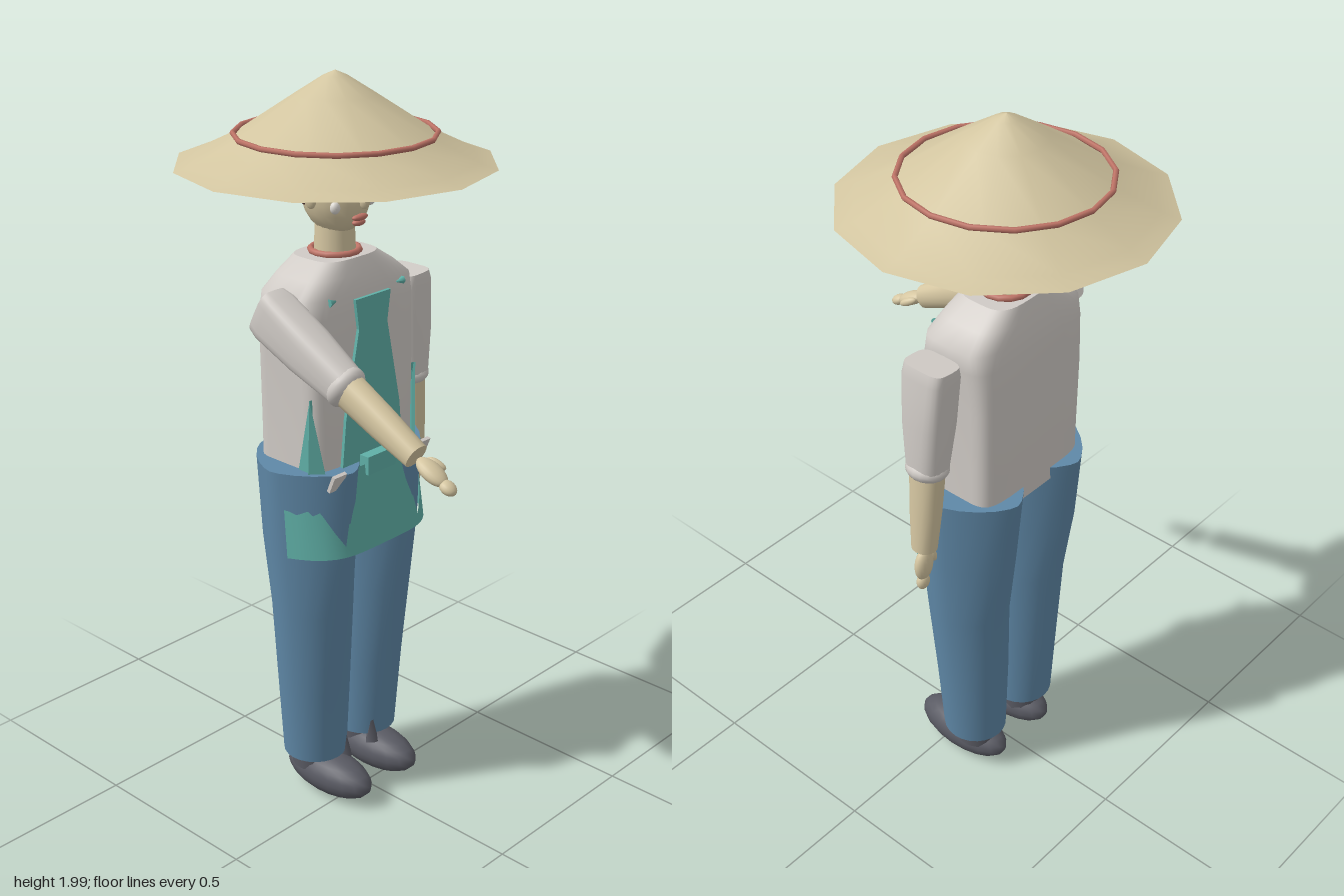
import * as THREE from 'three';

const mat = (name, color, side = THREE.FrontSide) => {
  const m = new THREE.MeshStandardMaterial({ color, side });
  m.name = name;
  return m;
};

// Closed skin through stacked rounded sections [y, cx, cz, rx, rz, power], bottom to top
function loft(sections, n = 24) {
  const pos = [], idx = [];
  const ring = ([y, cx, cz, rx, rz, power]) => {
    for (let i = 0; i < n; i++) {
      const a = (i / n) * Math.PI * 2, c = Math.cos(a), s = Math.sin(a);
      pos.push(cx + rx * Math.sign(c) * Math.abs(c) ** (2 / power), y,
        cz + rz * Math.sign(s) * Math.abs(s) ** (2 / power));
    }
  };
  sections.forEach(ring);
  for (let k = 0; k < sections.length - 1; k++) for (let i = 0; i < n; i++) {
    const a = k * n + i, b = k * n + (i + 1) % n;
    idx.push(a, a + n, b, b, a + n, b + n);
  }
  // flat end caps on their own vertices
  [[sections[0], false], [sections[sections.length - 1], true]].forEach(([s, top]) => {
    const base = pos.length / 3;
    ring(s);
    pos.push(s[1], s[0], s[2]);
    for (let i = 0; i < n; i++) {
      const a = base + i, b = base + (i + 1) % n;
      idx.push(base + n, top ? b : a, top ? a : b);
    }
  });
  const g = new THREE.BufferGeometry();
  g.setAttribute('position', new THREE.Float32BufferAttribute(pos, 3));
  g.setIndex(idx);
  g.computeVertexNormals();
  return g;
}

export function createModel() {
  const M = {
    straw: mat('straw', 0xd2c5a0, THREE.DoubleSide),
    skin: mat('skin', 0xd6c7a2),
    shirt: mat('shirt cloth', 0xd0cbc6),
    teal: mat('teal cloth', 0x60b0a7, THREE.DoubleSide),
    denim: mat('blue cloth', 0x5f88a7),
    shoe: mat('shoe grey', 0x595a63),
    hair: mat('hair brown', 0x6c4d4b),
    red: mat('red', 0xbf7467),
    white: mat('eye white', 0xdedad4),
    dark: mat('dark', 0x2a2626),
  };
  const model = new THREE.Group();
  model.name = 'farmer';
  const add = (name, geo, m, x = 0, y = 0, z = 0, parent = model) => {
    const mesh = new THREE.Mesh(geo, m);
    mesh.name = name;
    mesh.position.set(x, y, z);
    parent.add(mesh);
    return mesh;
  };
  const ball = (name, m, x, y, z, rx, ry, rz, parent) => {
    const b = add(name, new THREE.SphereGeometry(1, 18, 12), m, x, y, z, parent);
    b.scale.set(rx, ry, rz);
    return b;
  };

  // Wide twelve-sided straw hat with a cord
  const hatProfile = [[0.407, 1.775], [0.36, 1.79], [0.25, 1.843], [0.1, 1.942], [0.03, 1.987], [0, 2]];
  add('hat', new THREE.LatheGeometry(hatProfile.map(p => new THREE.Vector2(...p)), 12), M.straw, 0, 0, -0.1);
  add('hatCord', new THREE.TorusGeometry(0.253, 0.007, 6, 16), M.red, 0, 1.848, -0.1).rotation.x = Math.PI / 2;

  // Head, neck and collar
  ball('head', M.skin, 0, 1.71, -0.1, 0.085, 0.115, 0.095);
  add('neck', new THREE.CylinderGeometry(0.05, 0.054, 0.11, 16), M.skin, 0, 1.58, -0.105);
  add('collar', new THREE.TorusGeometry(0.062, 0.009, 8, 14), M.red, 0, 1.552, -0.105).rotation.x = Math.PI / 2;

  // Face
  ball('nose', M.skin, 0, 1.697, -0.004, 0.012, 0.025, 0.016);
  ball('upperLip', M.red, 0, 1.65, -0.018, 0.026, 0.009, 0.012);
  ball('lowerLip', M.red, 0, 1.636, -0.022, 0.021, 0.009, 0.012);
  for (const s of [-1, 1]) {
    ball('eye', M.white, s * 0.037, 1.732, -0.018, 0.016, 0.009, 0.008);
    ball('pupil', M.dark, s * 0.037, 1.732, -0.012, 0.008, 0.008, 0.005);
    add('eyebrow', new THREE.BoxGeometry(0.034, 0.007, 0.008), M.dark, s * 0.038, 1.753, -0.019)
      .rotation.set(0, s * 0.4, -s * 0.15);
    ball('cheek', M.white, s * 0.063, 1.68, -0.042, 0.014, 0.016, 0.012);
    ball('ear', M.skin, s * 0.084, 1.7, -0.105, 0.012, 0.03, 0.018);
  }

  // Hair cap, hanging locks and bun
  const cap = add('hairCap', new THREE.SphereGeometry(1, 20, 10, 0, Math.PI * 2, 0, Math.PI * 0.52), M.hair, 0, 1.728, -0.112);
  cap.scale.set(0.09, 0.105, 0.092);
  cap.rotation.x = -0.35;
  for (let i = 0; i < 11; i++) {
    const a = Math.PI * (0.02 + 0.96 * i / 10);
    ball('hairLock', M.hair, 0.076 * Math.cos(a), 1.725 - 0.012 * (i % 2), -0.115 - 0.07 * Math.sin(a), 0.016, 0.04, 0.017);
  }
  ball('hairBun', M.hair, 0, 1.755, -0.202, 0.036, 0.036, 0.032);

  // Boxy shirt body, sloping in at the shoulders
  add('shirt', loft([
    [0.985, 0, -0.1, 0.19, 0.117, 6], [1.1, 0, -0.1, 0.19, 0.117, 6], [1.3, 0, -0.1, 0.193, 0.117, 6],
    [1.42, 0, -0.1, 0.2, 0.113, 5], [1.47, 0, -0.1, 0.201, 0.106, 4.5], [1.51, 0, -0.102, 0.155, 0.094, 4],
    [1.547, 0, -0.104, 0.1, 0.08, 3.5]], 40), M.shirt);
  for (const s of [-1, 1]) {
    add('shirtTail', new THREE.BoxGeometry(0.045, 0.05, 0.01), M.shirt, s * 0.16, 1.005, 0.052).rotation.x = 0.4;
    const stud = add('stud', new THREE.ConeGeometry(0.011, 0.03, 6), M.teal, s * 0.12, 1.463, 0.004);
    stud.rotation.z = s * Math.PI / 2;
  }

  // Apron bib
  const plate = pts => new THREE.ExtrudeGeometry(
    new THREE.Shape(pts.map(p => new THREE.Vector2(...p))), { depth: 0.009, bevelEnabled: false });
  add('apronBib', plate([[-0.115, 1.0], [0.115, 1.0], [0.1, 1.15], [0.052, 1.38], [0.064, 1.46],
    [-0.064, 1.46], [-0.052, 1.38], [-0.1, 1.15]]), M.teal, 0, 0, 0.019);
  // Apron gussets wrapping the front corners of the shirt
  for (const s of [-1, 1]) {
    const corner = plate([[-0.024, 1.0], [0.024, 1.0], [s * 0.018, 1.22]]);
    add('apronCorner', corner, M.teal, s * 0.179, 0, 0.001).rotation.y = s * 0.75;
    add('apronSide', plate([[0.0, 1.0], [-0.055, 1.0], [-0.008, 1.22]]), M.teal, s * 0.19 + 0.0045, 0, 0)
      .rotation.y = -Math.PI / 2;
  }
  add('apronKnot', new THREE.BoxGeometry(0.105, 0.05, 0.03), M.teal, 0, 1.017, 0.045);

  // Apron skirt wrapping the hips, with deep notches in its top edge
  const half = [[0, 1.02], [0.04, 1.02], [0.09, 1.02], [0.115, 0.92], [0.14, 0.82],
    [0.165, 0.86], [0.19, 0.91], [0.215, 0.96], [0.232, 0.98], [0.247, 0.93]];
  const rim = [...half.slice(1).reverse().map(([x, y]) => [-x, y]), ...half];
  const skirtPos = [], skirtIdx = [];
  rim.forEach(([x, top], i) => {
    for (const y of [0.79, top]) {
      const rise = y - 0.79;
      skirtPos.push(x * (1 - rise * 0.2), y, 0.076 - rise * 0.12 - 0.12 * Math.abs(x / 0.247) ** 4.5);
    }
    if (i) skirtIdx.push(2 * i - 2, 2 * i, 2 * i - 1, 2 * i - 1, 2 * i, 2 * i + 1);
  });
  const skirt = new THREE.BufferGeometry();
  skirt.setAttribute('position', new THREE.Float32BufferAttribute(skirtPos, 3));
  skirt.setIndex(skirtIdx);
  skirt.computeVertexNormals();
  add('apronSkirt', skirt, M.teal);

  // Trouser legs and shoes
  for (const s of [-1, 1]) {
    add('trouserLeg', loft([
      [0.13, s * 0.1, -0.098, 0.087, 0.088, 2], [0.35, s * 0.105, -0.094, 0.1, 0.1, 1.9],
      [0.6, s * 0.114, -0.087, 0.112, 0.118, 1.75], [0.8, s * 0.12, -0.09, 0.122, 0.146, 1.6],
      [1.022, s * 0.118, -0.094, 0.137, 0.162, 1.5]]), M.denim);
    ball('shoe', M.shoe, s * 0.092, 0.066, -0.05, 0.067, 0.06, 0.15);
    add('ankle', new THREE.CylinderGeometry(0.062, 0.062, 0.07, 14), M.shoe, s * 0.096, 0.115, -0.105);
    add('shoeTongue', new THREE.ConeGeometry(0.024, 0.085, 4), M.shoe, s * 0.055, 0.15, -0.025);
  }

  // Arms hang along local -y; s is the body side
  const arm = (name, s) => {
    const g = new THREE.Group();
    g.name = name;
    model.add(g);
    add('sleeve', loft([[-0.295, 0, 0, 0.046, 0.052, 2.4], [-0.15, 0, 0, 0.055, 0.062, 3],
      [-0.02, 0, 0, 0.052, 0.065, 4], [0.01, 0, 0, 0.045, 0.062, 4]]), M.shirt, 0, 0, 0, g);
    ball('cuff', M.shirt, 0, -0.285, 0, 0.054, 0.034, 0.057, g);
    add('forearm', loft([[-0.535, 0, 0, 0.032, 0.033, 2.2], [-0.42, 0, 0, 0.037, 0.042, 2.2],
      [-0.28, 0, 0, 0.041, 0.047, 2.2]], 16), M.skin, 0, 0, 0, g);
    ball('palm', M.skin, 0, -0.59, 0, 0.029, 0.048, 0.019, g);
    ball('fingers', M.skin, 0, -0.645, 0, 0.02, 0.024, 0.015, g);
    ball('thumb', M.skin, -s * 0.032, -0.575, 0, 0.01, 0.026, 0.011, g).rotation.z = -s * 0.35;
    return g;
  };
  const left = arm('leftArm', 1);
  left.position.set(0.25, 1.437, -0.092);
  left.rotation.z = 0.07;
  const right = arm('rightArm', -1);
  right.position.set(-0.246, 1.448, -0.09);
  right.rotation.set(-1.085, 0, 0.02);

  return model;
}
